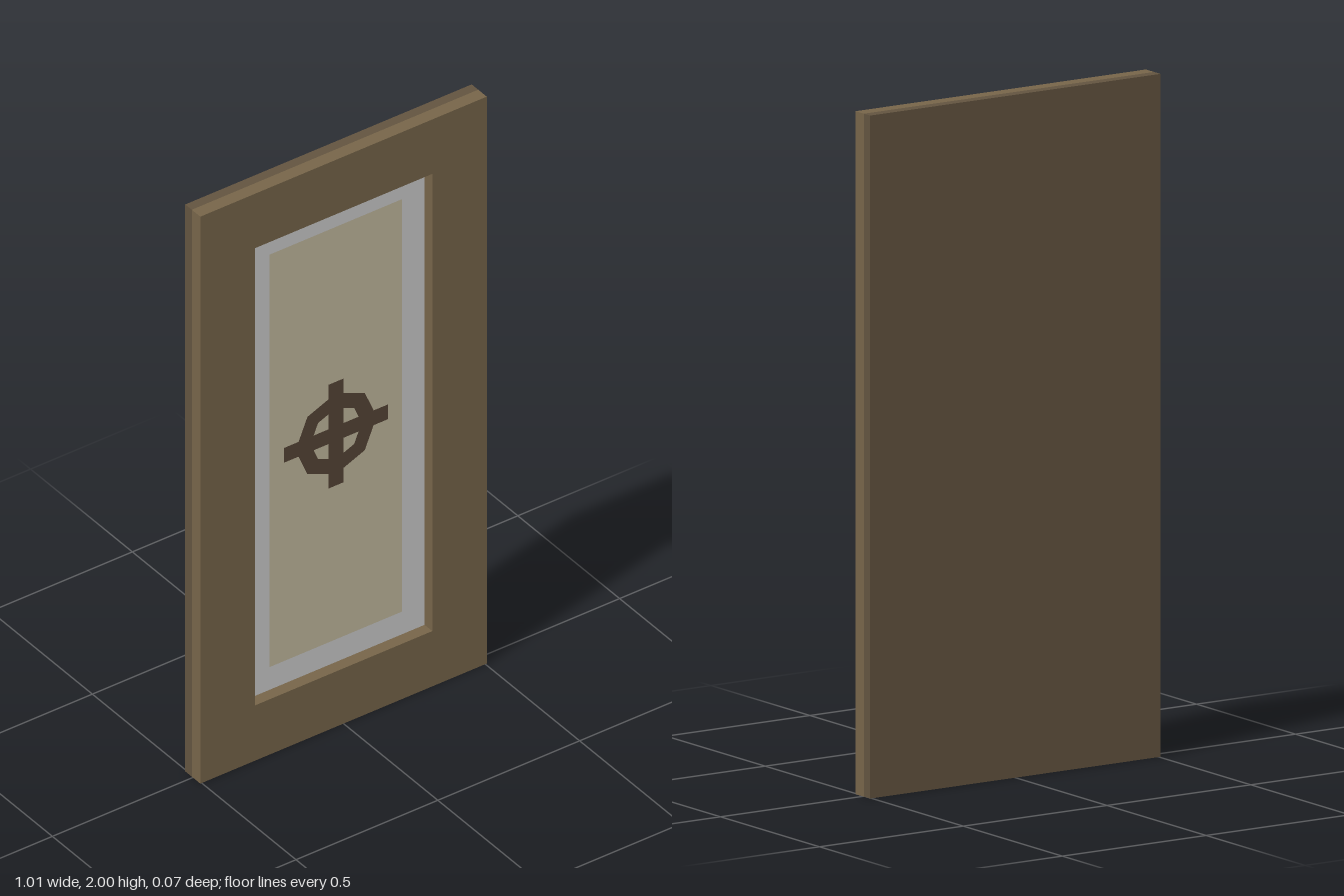
import * as THREE from 'three';

const mat = (color) => new THREE.MeshStandardMaterial({ color, flatShading: true });

function rectPath(Type, x, y0, y1) {
  const p = new Type();
  p.moveTo(-x, y0).lineTo(x, y0).lineTo(x, y1).lineTo(-x, y1).closePath();
  return p;
}

export function createModel() {
  const model = new THREE.Group();
  const add = (name, geometry, material, x = 0, y = 0, z = 0, parent = model) => {
    const mesh = new THREE.Mesh(geometry, material);
    mesh.name = name;
    mesh.position.set(x, y, z);
    parent.add(mesh);
    return mesh;
  };
  const extrude = (shape, depth) => new THREE.ExtrudeGeometry(shape, { depth, bevelEnabled: false });

  // Solid board closing the back
  add('backBoard', new THREE.BoxGeometry(1.01, 2, 0.032), mat(0x62533f), 0, 1, -0.021);

  // Frame with a rectangular opening
  const frame = rectPath(THREE.Shape, 0.505, 0, 2);
  frame.holes.push(rectPath(THREE.Path, 0.313, 0.195, 1.808));
  add('frame', extrude(frame, 0.042), mat(0x766449), 0, 0, -0.005);

  // Recessed panel: pale border around a cream field
  const border = rectPath(THREE.Shape, 0.313, 0.195, 1.808);
  border.holes.push(rectPath(THREE.Path, 0.233, 0.275, 1.73));
  add('panelBorder', extrude(border, 0.004), mat(0xcccccc), 0, 0, -0.005);
  add('panelField', extrude(rectPath(THREE.Shape, 0.233, 0.275, 1.73), 0.004), mat(0xc2b99e), 0, 0, -0.005);

  // Flat ornament: eight-sided ring crossed by two bars
  const ornament = new THREE.Group();
  ornament.name = 'ornament';
  ornament.position.set(0, 1.002, 0.0005);
  model.add(ornament);
  const dark = mat(0x564536);
  add('ornamentRing', new THREE.RingGeometry(0.09, 0.143, 8, 1), dark, 0, 0, 0, ornament);
  add('uprightBar', new THREE.PlaneGeometry(0.052, 0.366), dark, 0, 0, 0, ornament);
  add('crossBar', new THREE.PlaneGeometry(0.366, 0.052), dark, 0, 0, 0, ornament);

  return model;
}
